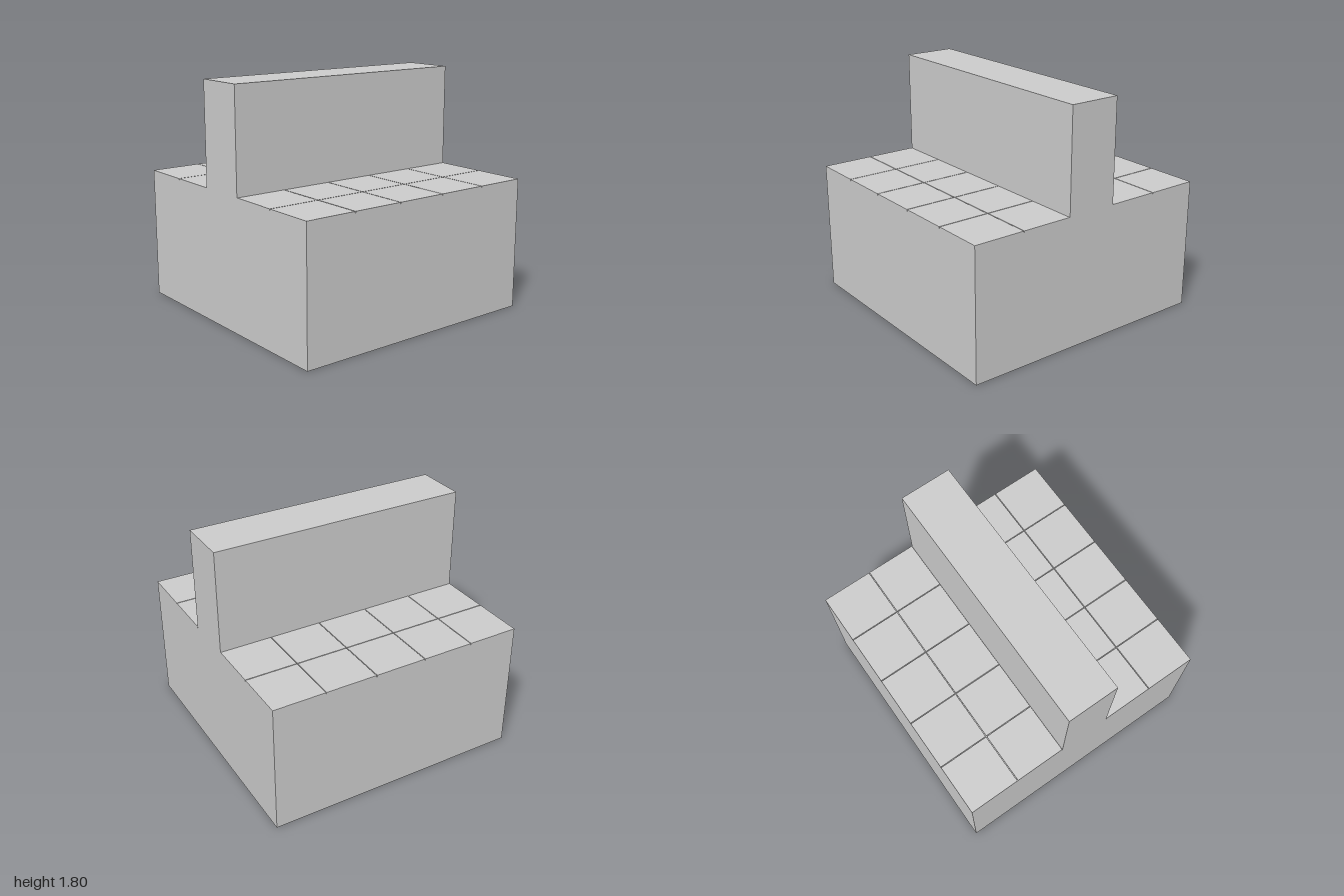
import * as THREE from 'three';

export function createModel() {
  const model = new THREE.Group();
  const solid = new THREE.MeshStandardMaterial({ color: 0xcccccc, flatShading: true });
  const sheet = new THREE.MeshStandardMaterial({ color: 0xcccccc, flatShading: true, side: THREE.DoubleSide });
  const deckY = 1, tileTop = 1.012, gap = 0.006, cell = 0.4;

  function add(name, geometry, material, x, y, z, parent = model) {
    const mesh = new THREE.Mesh(geometry, material);
    mesh.name = name;
    mesh.position.set(x, y, z);
    parent.add(mesh);
    return mesh;
  }

  // Upright sheet from the ground to the deck, across x or along z
  function wall(name, length, x, z, alongZ, parent) {
    const mesh = add(name, new THREE.PlaneGeometry(length, deckY), sheet, x, deckY / 2, z, parent);
    if (alongZ) mesh.rotation.y = Math.PI / 2;
  }

  // Square shells nested inside each other, open at the bottom
  const shells = { outerWall: 1, largeInnerShell: 0.6, mediumInnerShell: 0.4, smallInnerShell: 0.2 };
  for (const [name, half] of Object.entries(shells)) {
    const shell = new THREE.Group();
    shell.name = name;
    model.add(shell);
    for (const side of [-1, 1]) {
      wall(name + 'Side', half * 2, side * half, 0, true, shell);
      wall(name + 'End', half * 2, 0, side * half, false, shell);
    }
  }

  // Ribs joining the inner shells at the front and back
  for (const sx of [-1, 1])
    for (const sz of [-1, 1]) wall('rib', 0.4, sx * 0.2, sz * 0.4, true);

  // Deck closing the top of the shells
  const deck = add('deck', new THREE.PlaneGeometry(2, 2), sheet, 0, deckY, 0);
  deck.rotation.x = -Math.PI / 2;

  // Thin square tiles on both sides of the upright, with narrow joints
  const tiles = new THREE.Group();
  tiles.name = 'tiles';
  model.add(tiles);
  const h = tileTop - deckY;
  for (const x of [-0.8, -0.4, 0.4, 0.8])
    for (let row = -2; row <= 2; row++) {
      // Tiles stay flush with the outer walls
      const x0 = Math.max(-1, x - cell / 2 + (x < -0.7 ? 0 : gap / 2));
      const x1 = Math.min(1, x + cell / 2 - (x > 0.7 ? 0 : gap / 2));
      const z0 = row * cell - cell / 2 + (row === -2 ? 0 : gap / 2);
      const z1 = row * cell + cell / 2 - (row === 2 ? 0 : gap / 2);
      add('tile', new THREE.BoxGeometry(x1 - x0, h, z1 - z0), solid,
        (x0 + x1) / 2, deckY + h / 2, (z0 + z1) / 2, tiles);
    }

  // Long upright running front to back
  add('upright', new THREE.BoxGeometry(0.4, 0.8, 2), solid, 0, 1.4, 0);

  return model;
}
